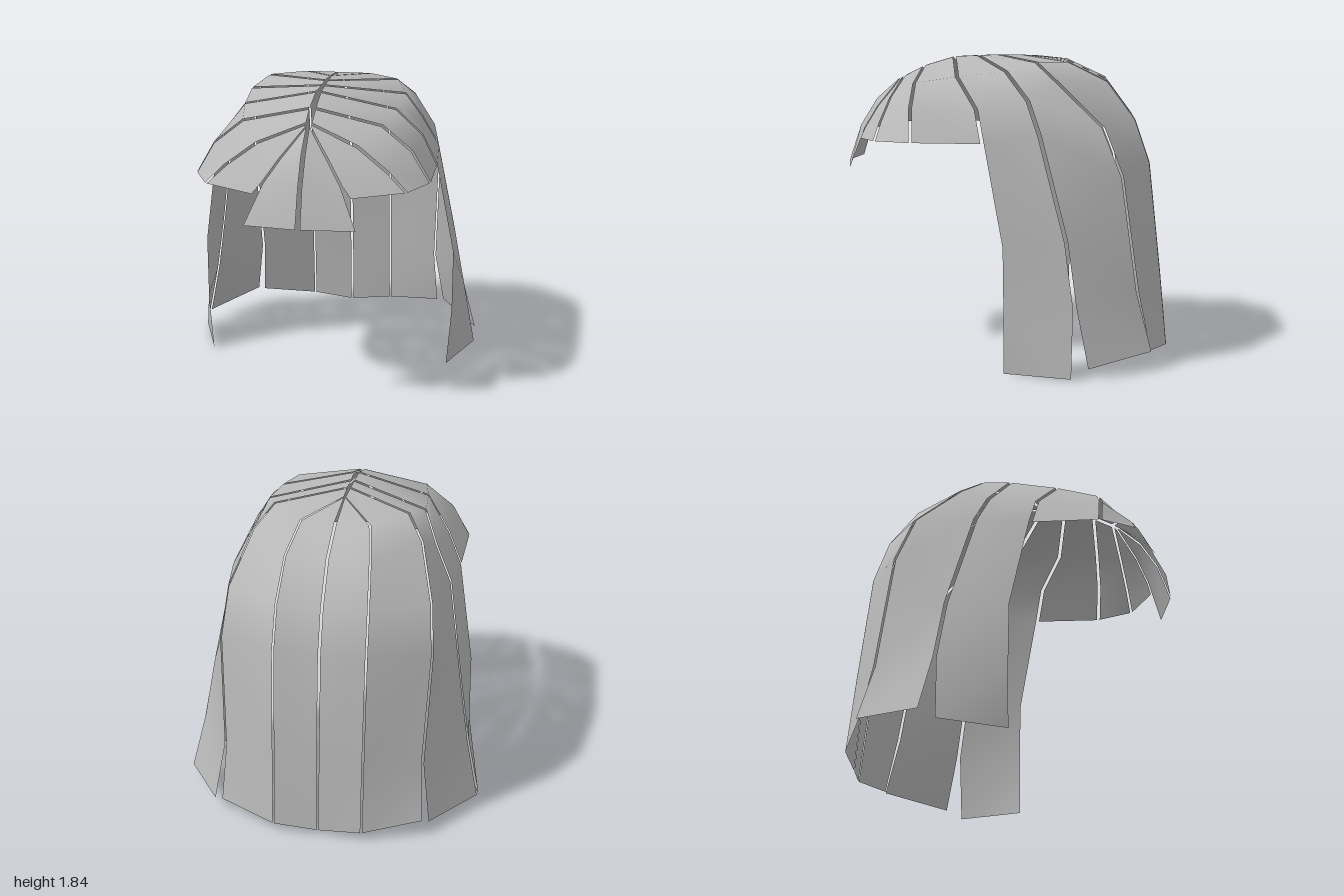
import * as THREE from 'three';

const hairGrey = new THREE.MeshStandardMaterial({ color: 0xb8b8b8, side: THREE.DoubleSide });
hairGrey.name = 'hair grey';

// Seams between neighbouring locks on the left half, from the parting to the tips
const backSeam = [
  [0.005, 1.84, -0.09], [0.205, 1.805, -0.38], [0.248, 1.69, -0.62], [0.268, 1.46, -0.79],
  [0.273, 1.2, -0.88], [0.27, 0.52, -0.955], [0.27, 0.06, -1],
];
const rearSeam = [
  [0.01, 1.84, 0.05], [0.405, 1.815, -0.19], [0.505, 1.7, -0.32], [0.603, 1.44, -0.59],
  [0.63, 1.16, -0.7], [0.603, 0.465, -0.8], [0.625, 0.11, -0.875],
];
const sideSeam = [
  [0.01, 1.835, 0.18], [0.483, 1.763, -0.008], [0.57, 1.595, -0.14], [0.67, 1.4, -0.21],
  [0.775, 0.785, -0.37], [0.84, 0.415, -0.42], [0.92, 0.01, -0.41],
];
const cheekSeam = [
  [0.015, 1.828, 0.328], [0.46, 1.73, 0.283], [0.608, 1.55, 0.163], [0.695, 1.355, 0.123],
  [0.797, 0.76, 0.01], [0.795, 0.37, 0.005], [0.765, 0, 0.005],
];
const templeSeam = [[0.018, 1.77, 0.518], [0.415, 1.69, 0.543], [0.59, 1.55, 0.553], [0.7, 1.36, 0.543]];
const browSeam = [[0.018, 1.705, 0.645], [0.295, 1.595, 0.7], [0.475, 1.465, 0.743], [0.588, 1.358, 0.77]];
const fringeSeam = [[0.015, 1.69, 0.668], [0.14, 1.53, 0.795], [0.23, 1.4, 0.868], [0.28, 1.342, 0.89]];
const noseLine = [[0.006, 1.69, 0.68], [0.006, 1.57, 0.815], [0.006, 1.4, 0.92], [0.008, 1.175, 0.995]];

// The middle of the back follows the first seam's profile; its tip hangs slightly lower
const napeLine = backSeam.map(([, y, z]) => [0.002, y, z]);

const withTip = (seam, tip) => [...seam.slice(0, -1), tip];

// Each lock fills the space between a seam nearer the nape and one nearer the face
const locks = [
  { name: 'inner back lock', gap: 0.005, back: withTip(napeLine, [0.002, 0.035, -0.985]), front: backSeam },
  { name: 'outer back lock', gap: 0.006, back: backSeam, front: rearSeam },
  { name: 'rear side lock', gap: 0.012, back: withTip(rearSeam, [0.655, 0.115, -0.89]), front: withTip(sideSeam, [0.92, 0.07, -0.49]) },
  { name: 'front side lock', gap: 0.01, back: sideSeam, front: cheekSeam },
  { name: 'temple fringe', gap: 0.01, back: cheekSeam.slice(0, 4), front: templeSeam },
  { name: 'outer fringe', gap: 0.011, back: templeSeam, front: browSeam },
  { name: 'middle fringe', gap: 0.008, back: browSeam, front: fringeSeam },
  { name: 'centre fringe', gap: 0.006, back: withTip(fringeSeam, [0.33, 1.17, 0.948]), front: noseLine },
];

// Sheet between two seams, drawn in by the gap, and mirrored across x when side is -1
function lockGeometry({ back, front, gap }, side) {
  const points = [];
  const index = [];
  back.forEach((start, i) => {
    const b = new THREE.Vector3(...start);
    const f = new THREE.Vector3(...front[i]);
    const inset = f.clone().sub(b).clampLength(0, 1).normalize().multiplyScalar(Math.min(gap, b.distanceTo(f) / 3));
    b.add(inset);
    f.sub(inset);
    b.x *= side;
    f.x *= side;
    points.push(b, f);
    if (i === 0) return;
    const [b0, f0, b1, f1] = [2 * i - 2, 2 * i - 1, 2 * i, 2 * i + 1];
    if (side > 0) index.push(b0, f0, b1, f0, f1, b1);
    else index.push(b0, b1, f0, f0, b1, f1);
  });
  const geometry = new THREE.BufferGeometry().setFromPoints(points);
  geometry.setIndex(index);
  geometry.computeVertexNormals();
  return geometry;
}

export function createModel() {
  const hair = new THREE.Group();
  hair.name = 'hair';
  for (const lock of locks) {
    for (const [label, side] of [['left', 1], ['right', -1]]) {
      const mesh = new THREE.Mesh(lockGeometry(lock, side), hairGrey);
      mesh.name = `${label} ${lock.name}`;
      hair.add(mesh);
    }
  }
  return hair;
}
